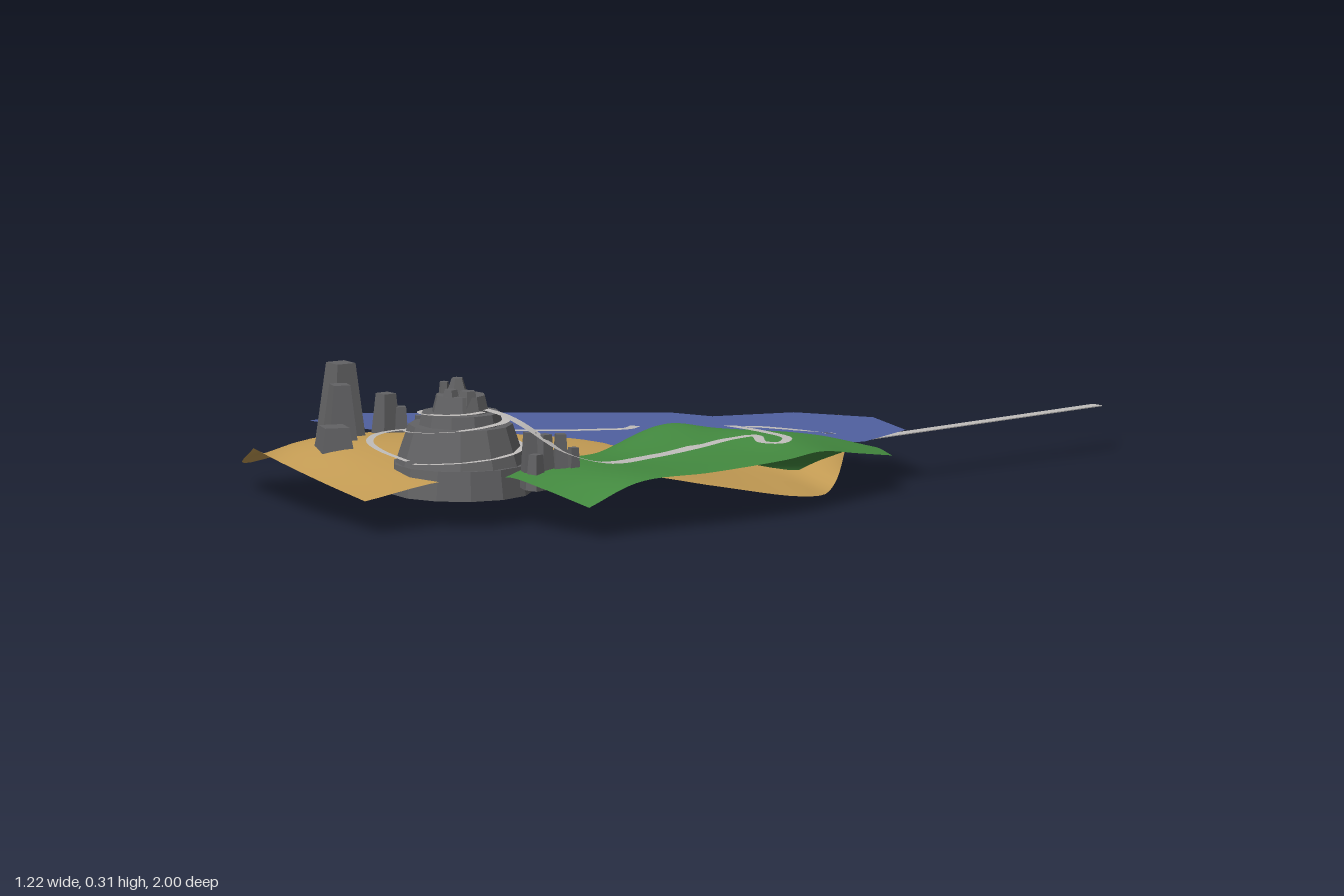
import * as THREE from 'three';

const flat = (name, color, extra = {}) => {
  const m = new THREE.MeshStandardMaterial({ color, ...extra });
  m.name = name;
  return m;
};

// Smooth sheet through rows of control points (back to front, left to right)
function sheet(rows, n = 44) {
  const curve = pts => new THREE.CatmullRomCurve3(pts);
  const across = rows.map(r => curve(r.map(p => new THREE.Vector3(...p))));
  const pos = [], idx = [];
  for (let j = 0; j <= n; j++) {
    const along = curve(across.map(c => c.getPoint(j / n)));
    for (let i = 0; i <= n; i++) pos.push(...along.getPoint(i / n).toArray());
  }
  for (let j = 0; j < n; j++) for (let i = 0; i < n; i++) {
    const a = j * (n + 1) + i, c = a + n + 1;
    idx.push(a, a + 1, c, a + 1, c + 1, c);
  }
  const g = new THREE.BufferGeometry();
  g.setAttribute('position', new THREE.Float32BufferAttribute(pos, 3));
  g.setIndex(idx);
  g.computeVertexNormals();
  return g;
}

export function createModel() {
  const root = new THREE.Group();
  const two = { side: THREE.DoubleSide };
  const sandMat = flat('sand', 0xc49c54, two);
  const grassMat = flat('grass', 0x43893f, two);
  const waterMat = flat('water', 0x5060a0, two);
  const rockMat = flat('rock', 0x626264, { flatShading: true });
  const pathMat = flat('path', 0xbfbcba, two);

  const add = (name, geo, mat, parent = root) => {
    const m = new THREE.Mesh(geo, mat);
    m.name = name;
    parent.add(m);
    return m;
  };

  // Sandy ground, dipping below the water at the back
  const sand = sheet([
    [[0.1, 0.1, -0.49], [0.18, 0.1, -0.42], [0.27, 0.1, -0.35], [0.355, 0.1, -0.28]],
    [[-0.04, 0.05, -0.3], [0.1, 0.03, -0.32], [0.25, 0.02, -0.26], [0.4, 0.015, -0.2]],
    [[-0.16, 0.05, -0.14], [0.05, 0.03, -0.15], [0.3, 0.02, -0.1], [0.52, 0.02, 0.01]],
    [[-0.13, 0.07, 0.03], [0.03, 0.075, 0.07], [0.25, 0.06, 0.12], [0.42, 0.05, 0.18]],
    [[-0.27, 0.085, 0.22], [-0.1, 0.103, 0.235], [0.08, 0.105, 0.185], [0.34, 0.08, 0.33]],
    [[-0.42, 0.1, 0.41], [-0.2, 0.125, 0.4], [0.05, 0.13, 0.38], [0.32, 0.08, 0.42]],
    [[-0.47, 0.085, 0.5], [-0.22, 0.135, 0.55], [0.05, 0.13, 0.55], [0.28, 0.085, 0.58]],
    [[-0.52, 0.05, 0.71], [-0.25, 0.14, 0.75], [0.02, 0.12, 0.8], [0.22, 0.105, 0.78]],
    [[-0.34, 0.12, 0.86], [-0.2, 0.11, 0.91], [0, 0.09, 0.96], [0.17, 0.075, 1]],
  ]);
  add('sandGround', sand, sandMat);

  // Green hills
  const grass = sheet([
    [[0.19, 0, -0.25], [0.3, 0.05, -0.26], [0.43, 0.09, -0.28], [0.51, 0.08, -0.27]],
    [[-0.035, 0.025, -0.17], [0.2, 0.07, -0.15], [0.38, 0.125, -0.15], [0.53, 0.1, -0.15]],
    [[0.02, 0.07, 0.04], [0.18, 0.13, 0.02], [0.38, 0.145, 0], [0.57, 0.125, 0]],
    [[0.04, 0.08, 0.13], [0.2, 0.157, 0.11], [0.4, 0.13, 0.13], [0.605, 0.125, 0.14]],
    [[0.12, 0.085, 0.33], [0.25, 0.125, 0.35], [0.4, 0.12, 0.35], [0.6, 0.12, 0.36]],
    [[0.12, 0.09, 0.53], [0.25, 0.125, 0.55], [0.42, 0.125, 0.55], [0.57, 0.115, 0.55]],
    [[0.2, 0.08, 0.66], [0.3, 0.11, 0.69], [0.42, 0.1, 0.7], [0.55, 0.07, 0.68]],
  ]);
  add('greenHills', grass, grassMat);

  // Flat water
  const level = 0.105;
  const outline = [[-0.61, 0.28], [-0.15, -0.22], [-0.05, -0.25], [0.03, -0.42], [0.2, -0.5],
    [0.38, -0.43], [0.44, -0.25], [0.36, -0.12], [0.2, 0.1], [0, 0.28], [-0.3, 0.42], [-0.61, 0.44]];
  const water = new THREE.ShapeGeometry(new THREE.Shape(outline.map(([x, z]) => new THREE.Vector2(x, -z))));
  water.rotateX(-Math.PI / 2).translate(0, level, 0);
  add('water', water, waterMat);

  // Height of the top surface at a place
  const height = (x, z) => {
    let top = level;
    for (const g of [sand, grass]) {
      const p = g.attributes.position;
      let best = 0.0016, y = 0;
      for (let i = 0; i < p.count; i++) {
        const d = (p.getX(i) - x) ** 2 + (p.getZ(i) - z) ** 2;
        if (d < best) { best = d; y = p.getY(i); }
      }
      top = Math.max(top, y);
    }
    return top;
  };

  // Ribbon path draped over the ground; points are [x, z] or [x, z, y]
  function path(name, pts, width, n, parent = root) {
    const c = new THREE.CatmullRomCurve3(
      pts.map(([x, z, y]) => new THREE.Vector3(x, y ?? height(x, z) + 0.008, z)));
    const pos = [], idx = [];
    for (let i = 0; i <= n; i++) {
      const p = c.getPoint(i / n), t = c.getTangent(i / n).setY(0).normalize();
      for (const s of [-1, 1]) {
        const w = s * width(i / n) / 2, x = p.x + t.z * w, z = p.z - t.x * w;
        pos.push(x, Math.max(p.y, height(x, z) + 0.006), z);
      }
      if (i < n) idx.push(2 * i, 2 * i + 2, 2 * i + 1, 2 * i + 1, 2 * i + 2, 2 * i + 3);
    }
    const g = new THREE.BufferGeometry();
    g.setAttribute('position', new THREE.Float32BufferAttribute(pos, 3));
    g.setIndex(idx);
    g.computeVertexNormals();
    add(name, g, pathMat, parent);
  }
  path('sandPath', [[-0.03, 0], [-0.015, 0.04], [-0.05, 0.1], [-0.1, 0.17], [-0.17, 0.24], [-0.21, 0.32],
    [-0.2, 0.45], [-0.18, 0.58], [-0.13, 0.69, 0.155], [-0.06, 0.77, 0.155], [0.03, 0.815, 0.15],
    [0.12, 0.825, 0.14]], t => 0.024 - 0.01 * t, 70);
  path('hillPath', [[0.12, 0.66, 0.25], [0.19, 0.655, 0.245], [0.25, 0.645, 0.235], [0.31, 0.63, 0.21],
    [0.37, 0.59, 0.165], [0.4, 0.5], [0.385, 0.35], [0.38, 0.2], [0.385, 0.1], [0.41, 0.05], [0.46, 0.075],
    [0.495, 0.055], [0.475, 0.015], [0.4, 0.015], [0.3, 0.025], [0.27, -0.02], [0.3, -0.055],
    [0.38, -0.065], [0.41, -0.12], [0.385, -0.2], [0.33, -0.24]],
    t => 0.022 + 0.016 * Math.exp(-(((t - 0.25) / 0.12) ** 2)), 110);

  // Long straight road at the back
  add('straightRoad', new THREE.BoxGeometry(0.03, 0.002, 1.23).translate(0.387, 0.1, -0.385), pathMat);

  // Tapered rock: [x, z, bottom y, top y, bottom width, top width, turn]
  const rock = (name, parent, [x, z, y0, y1, w0, w1, turn], sides = 4) => {
    const k = sides === 4 ? Math.SQRT1_2 : 0.5;
    const m = add(name, new THREE.CylinderGeometry(w1 * k, w0 * k, y1 - y0, sides), rockMat, parent);
    m.position.set(x, (y0 + y1) / 2, z);
    m.rotation.y = turn;
  };

  // Tower mountain with stepped tiers and broken peaks
  const tower = new THREE.Group();
  tower.name = 'tower';
  root.add(tower);
  const [cx, cz] = [0.135, 0.68];
  [[0.06, 0.125, 0.32, 0.3], [0.12, 0.21, 0.29, 0.23], [0.2, 0.237, 0.19, 0.175], [0.23, 0.275, 0.132, 0.11]]
    .forEach(([y0, y1, w0, w1], i) => rock('towerTier', tower, [cx, cz, y0, y1, w0, w1, i * 0.3], 13 - i));
  [[0.12, 0.675, 0.26, 0.31, 0.06, 0.025, 0.4], [0.093, 0.69, 0.25, 0.3, 0.03, 0.02, 0.2],
    [0.17, 0.69, 0.25, 0.288, 0.05, 0.035, 0.7], [0.14, 0.715, 0.25, 0.29, 0.05, 0.03, 1]]
    .forEach(r => rock('towerPeak', tower, r, 5));

  // Spiral path winding up the tower
  const spiral = [];
  for (let i = 0; i <= 36; i++) {
    const t = i / 36, a = Math.PI / 2 - t * Math.PI * 4.5;
    const r = 0.143 - 0.068 * t;
    spiral.push([cx + r * Math.cos(a), cz + r * Math.sin(a), t < 0.55 ? 0.135 + 0.15 * t : 0.2175 + 0.06 * (t - 0.55)]);
  }
  path('spiralPath', spiral, () => 0.02, 130, tower);

  // Standing rocks
  const rocks = new THREE.Group();
  rocks.name = 'standingRocks';
  root.add(rocks);
  [
    [-0.235, 0.695, 0.06, 0.305, 0.095, 0.047, 0.6], [-0.195, 0.735, 0.065, 0.265, 0.08, 0.038, 0.3],
    [-0.155, 0.79, 0.09, 0.182, 0.085, 0.055, 0.3], [-0.245, 0.55, 0.07, 0.22, 0.055, 0.032, 0.7],
    [-0.225, 0.525, 0.08, 0.19, 0.035, 0.022, 0.2], [-0.15, 0.535, 0.08, 0.18, 0.034, 0.022, 0.1],
    [-0.22, 0.437, 0.08, 0.175, 0.026, 0.018, 0.3], [-0.155, 0.437, 0.08, 0.165, 0.026, 0.018, 0.8],
    [0.305, 0.63, 0.08, 0.205, 0.036, 0.024, 0.3], [0.325, 0.605, 0.09, 0.2, 0.036, 0.024, 0.7],
    [0.345, 0.575, 0.09, 0.2, 0.034, 0.022, 0.2], [0.365, 0.555, 0.085, 0.17, 0.026, 0.018, 0.5],
    [0.335, 0.64, 0.08, 0.16, 0.032, 0.022, 0.9],
  ].forEach(r => rock('rock', rocks, r));

  return root;
}
